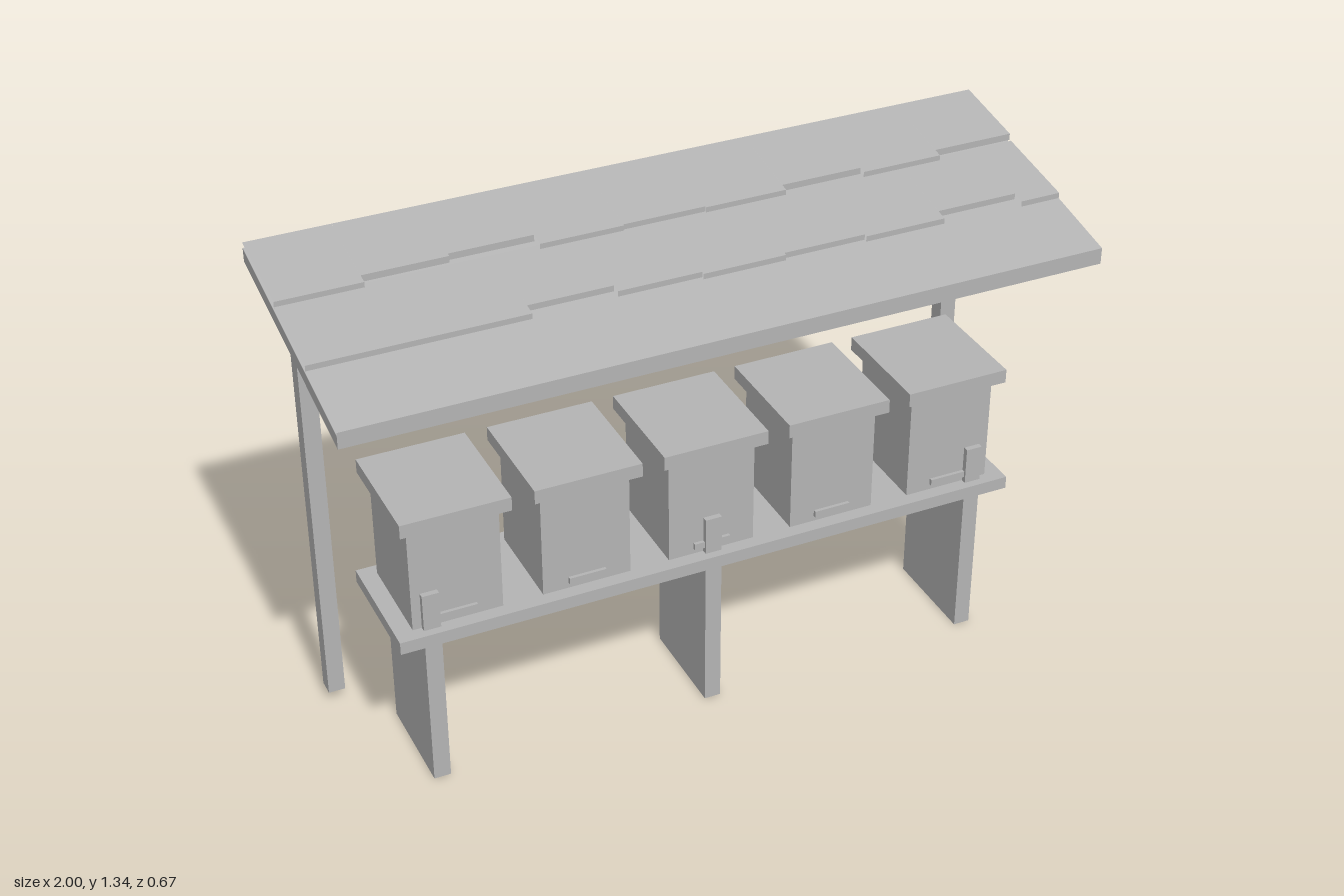
import * as THREE from 'three';

export function createModel() {
  const model = new THREE.Group();
  const wood = new THREE.MeshStandardMaterial({ color: 0xb4b4b4, side: THREE.DoubleSide });
  wood.name = 'plain grey';

  // Box given by its minimum and maximum corners
  function box(name, [x0, y0, z0], [x1, y1, z1], parent = model) {
    const mesh = new THREE.Mesh(new THREE.BoxGeometry(x1 - x0, y1 - y0, z1 - z0), wood);
    mesh.position.set((x0 + x1) / 2, (y0 + y1) / 2, (z0 + z1) / 2);
    mesh.name = name;
    parent.add(mesh);
    return mesh;
  }

  // Shelf and the boards that carry it
  box('shelf', [-0.855, 0.437, -0.12], [0.855, 0.472, 0.212]);
  for (const x of [-0.7625, 0, 0.7625]) {
    box('legBoard', [x - 0.0225, 0, -0.097], [x + 0.0225, 0.575, 0.19]);
  }

  // Five hives, each with body, lid and entrance ledge
  for (let i = -2; i <= 2; i++) {
    const hive = new THREE.Group();
    hive.name = 'hive';
    hive.position.x = i * 0.345;
    box('hiveBody', [-0.119, 0.472, -0.088], [0.119, 0.772, 0.175], hive);
    box('hiveLid', [-0.143, 0.77, -0.111], [0.143, 0.808, 0.204], hive);
    box('entranceLedge', [-0.05, 0.487, 0.17], [0.05, 0.505, 0.184], hive);
    model.add(hive);
  }

  // Rear posts
  for (const x of [-0.906, 0.906]) {
    box('roofPost', [x - 0.0225, 0.03, -0.265], [x + 0.0225, 1.27, -0.218]);
  }

  // Sloping roof board
  const roofTop = (z) => 1.254 - 0.209 * z;
  const roof = new THREE.Shape();
  roof.moveTo(-0.333, roofTop(0.333));
  roof.lineTo(0.337, roofTop(-0.337));
  roof.lineTo(0.337, roofTop(-0.337) - 0.036);
  roof.lineTo(-0.333, roofTop(0.333) - 0.036);
  const roofGeometry = new THREE.ExtrudeGeometry(roof, { depth: 2, bevelEnabled: false });
  roofGeometry.rotateY(Math.PI / 2).translate(-1, 0, 0);
  const roofBoard = new THREE.Mesh(roofGeometry, wood);
  roofBoard.name = 'roofBoard';
  model.add(roofBoard);

  // A thin shingle: a sloping sheet with a turned-down front lip
  function shingle(x0, x1, front, back, frontLift, backLift, lip) {
    const yf = roofTop(front) + frontLift;
    const yb = roofTop(back) + backLift;
    const g = new THREE.BufferGeometry();
    g.setAttribute('position', new THREE.Float32BufferAttribute([
      x0, yf, front, x1, yf, front, x1, yb, back, x0, yb, back,
      x0, yf - lip, front, x1, yf - lip, front, x1, yf, front, x0, yf, front,
    ], 3));
    g.setIndex([0, 1, 2, 0, 2, 3, 4, 5, 6, 4, 6, 7]);
    g.computeVertexNormals();
    const mesh = new THREE.Mesh(g, wood);
    mesh.name = 'shingle';
    model.add(mesh);
  }

  // Three overlapping courses; the middle one is staggered by half a shingle
  const step = 2 / 9;
  const courses = [
    { fronts: Array(9).fill(0.333), back: 0.105, lifts: [0.008, 0.006], lip: 0.008, shift: 0 },
    { fronts: [0.122, 0.122, 0.122, 0.092, 0.114, 0.122, 0.114, 0.122, 0.092, 0.125],
      back: -0.115, lifts: [0.021, 0.01], lip: 0.016, shift: step / 2 },
    { fronts: [-0.1, -0.125, -0.134, -0.098, -0.102, -0.098, -0.118, -0.1, -0.123],
      back: -0.337, lifts: [0.025, 0.015], lip: 0.018, shift: 0 },
  ];
  for (const { fronts, back, lifts, lip, shift } of courses) {
    fronts.forEach((front, i) => {
      const x0 = Math.max(-1, -1 - shift + i * step);
      const x1 = Math.min(1, -1 - shift + (i + 1) * step);
      shingle(x0, x1, front, back, lifts[0], lifts[1], lip);
    });
  }

  return model;
}
